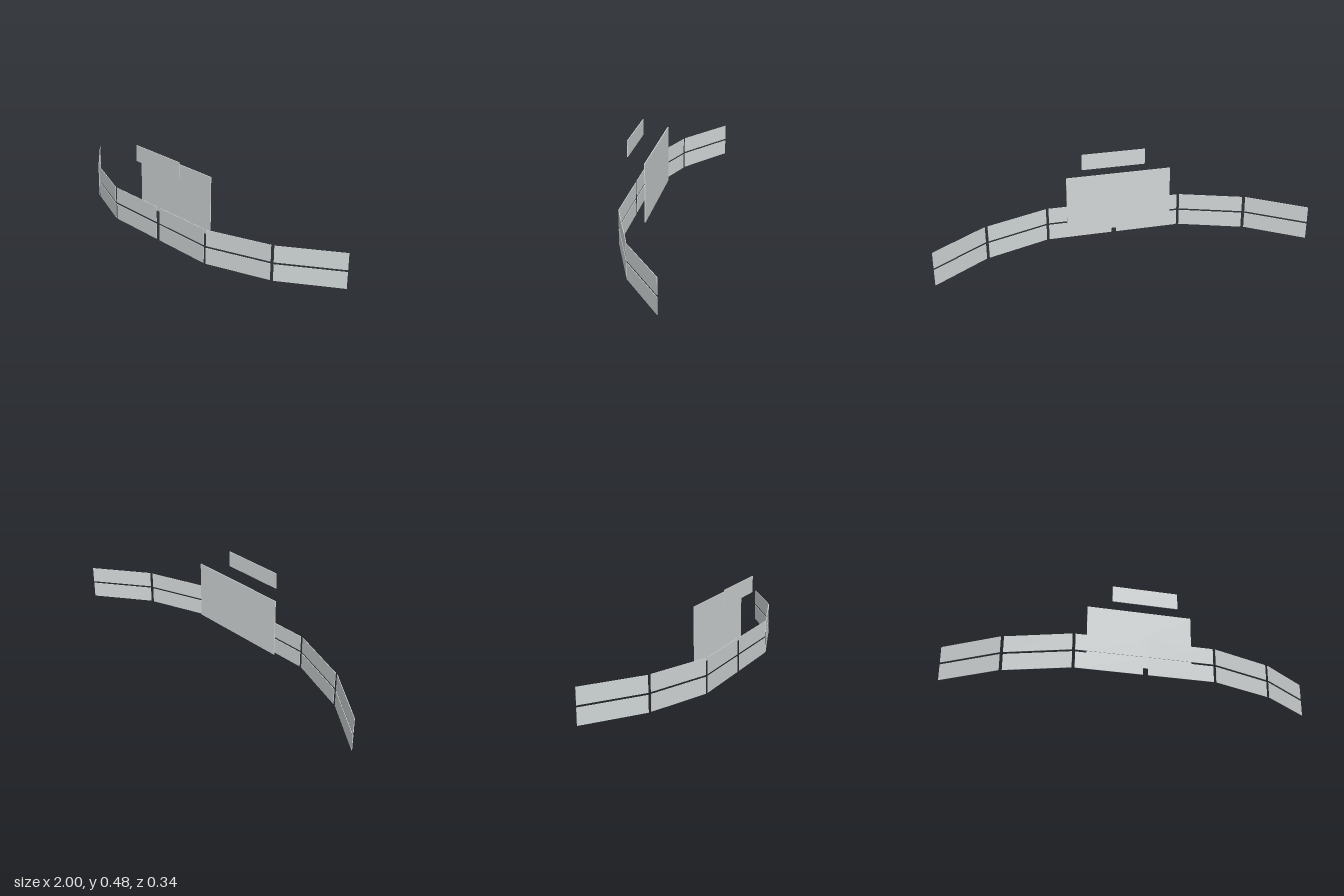
import * as THREE from 'three';

const PANEL_W = 0.348, PANEL_H = 0.087, THICK = 0.003;

export function createModel() {
  const model = new THREE.Group();
  model.name = 'screenArray';
  const screenGrey = new THREE.MeshStandardMaterial({ color: 0xd1d6d6 });
  screenGrey.name = 'screenGrey';

  // Thin upright panel, centred at x, y, z and turned about the vertical
  function addPanel(name, w, h, thick, x, y, z, turn = 0) {
    const mesh = new THREE.Mesh(new THREE.BoxGeometry(w, h, thick), screenGrey);
    mesh.name = name;
    mesh.position.set(x, y, z);
    mesh.rotation.y = turn;
    model.add(mesh);
  }

  // Two rows of six panels curving back towards the ends
  const columns = [
    { name: 'inner', x: 0.187, z: 0.167, deg: 0 },
    { name: 'middle', x: 0.539, z: 0.105, deg: 20.3 },
    { name: 'outer', x: 0.858, z: -0.064, deg: 36.4 },
  ];
  const rows = [{ name: 'Lower', y: PANEL_H / 2 }, { name: 'Upper', y: 0.141 }];
  for (const row of rows) {
    for (const col of columns) {
      for (const side of [-1, 1]) {
        addPanel(`${col.name}${row.name}Panel${side > 0 ? 'Left' : 'Right'}`,
          PANEL_W, PANEL_H, THICK, side * col.x, row.y, col.z,
          side * THREE.MathUtils.degToRad(col.deg));
      }
    }
  }

  // Large screen behind the rows and narrow screen hung above
  addPanel('mainScreen', 0.563, 0.318, 0.005, 0, 0.246, 0.053);
  addPanel('overheadScreen', PANEL_W, PANEL_H, 0.004, 0, 0.4355, 0.167);

  return model;
}
